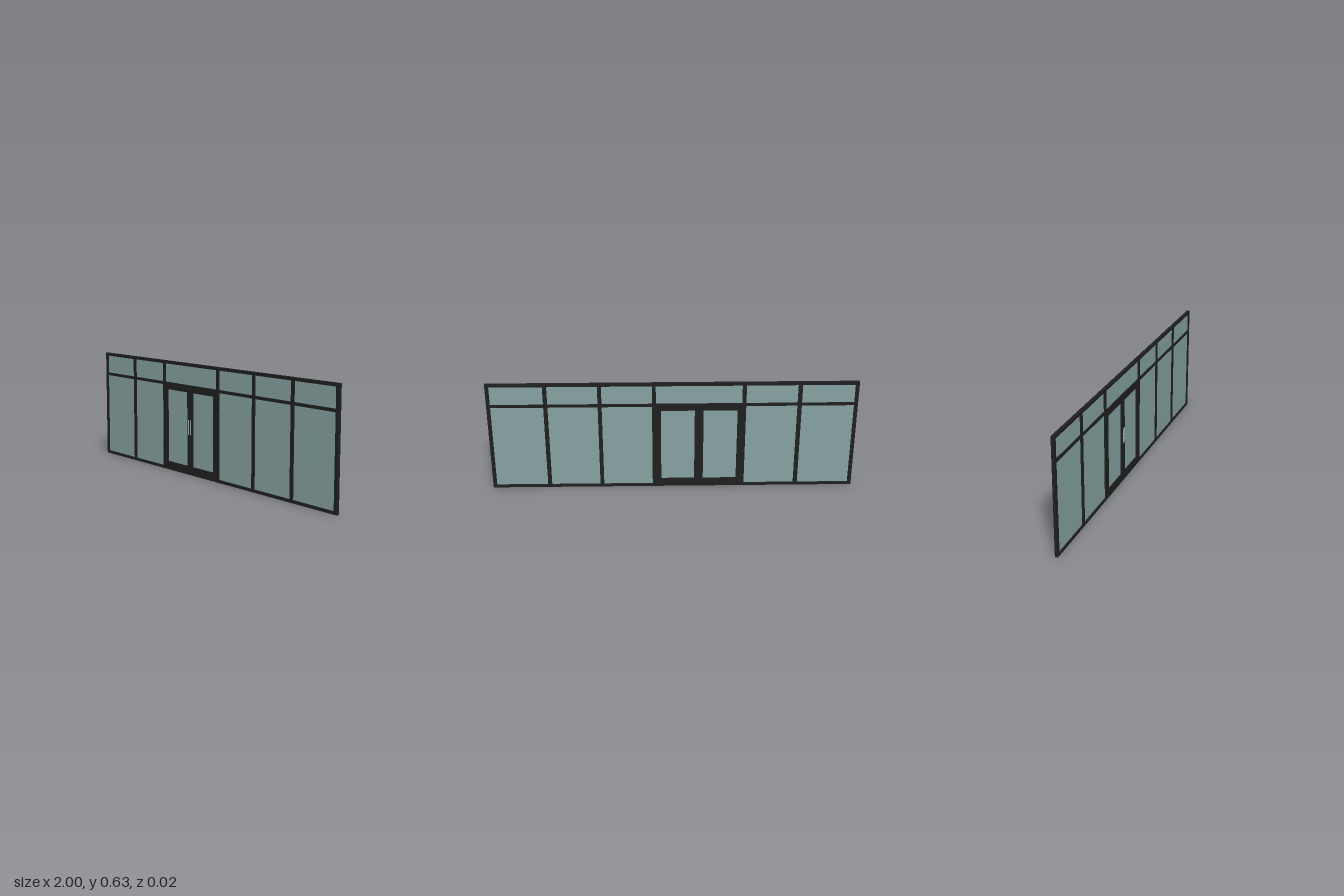
import * as THREE from 'three';

const HEIGHT = 0.63, BACK = -0.011, FRONT = 0.005;
const MID = (BACK + FRONT) / 2, DEPTH = FRONT - BACK;

export function createModel() {
  const root = new THREE.Group();
  root.name = 'storefront';

  const mat = (name, color) => {
    const m = new THREE.MeshStandardMaterial({ color });
    m.name = name;
    return m;
  };
  const frameMat = mat('black frame', 0x202020);
  const hingeMat = mat('dark hinge', 0x141414);
  const glassMat = mat('tinted glass', 0x86a3a2);
  const steelMat = mat('brushed steel', 0x96a5a3);

  const add = (parent, name, geometry, material, x = 0, y = 0, z = 0) => {
    const m = new THREE.Mesh(geometry, material);
    m.name = name;
    m.position.set(x, y, z);
    parent.add(m);
    return m;
  };
  // Box given by its x and y limits
  const slab = (parent, name, x0, x1, y0, y1, material, depth = DEPTH) =>
    add(parent, name, new THREE.BoxGeometry(x1 - x0, y1 - y0, depth), material,
      (x0 + x1) / 2, (y0 + y1) / 2, MID);

  // Vertical posts, left to right
  const posts = [[-1, -0.98], [-0.697, -0.674], [-0.397, -0.375], [0.09, 0.111],
    [0.382, 0.403], [0.673, 0.695], [0.98, 1]];
  posts.forEach(([a, b]) => slab(root, 'post', a, b, 0, HEIGHT, frameMat));

  // Rails and glass of every bay; the third bay holds the doors
  for (let i = 0; i < posts.length - 1; i++) {
    const x0 = posts[i][1], x1 = posts[i + 1][0];
    slab(root, 'bottomRail', x0, x1, 0, 0.016, frameMat);
    slab(root, 'transomRail', x0, x1, 0.492, 0.508, frameMat);
    slab(root, 'topRail', x0, x1, 0.613, HEIGHT, frameMat);
    slab(root, 'transomGlass', x0, x1, 0.508, 0.613, glassMat, 0.004);
    if (i !== 2) slab(root, 'windowGlass', x0, x1, 0.016, 0.492, glassMat, 0.004);
  }

  // Double door: each leaf is a wide frame around a pane, with hinges and a pull
  const doorMiddle = -0.143;
  const leaves = [
    { side: -1, x0: -0.375, x1: doorMiddle, g0: -0.352, g1: -0.168 },
    { side: 1, x0: doorMiddle, x1: 0.09, g0: -0.12, g1: 0.063 },
  ];
  for (const { side, x0, x1, g0, g1 } of leaves) {
    const door = new THREE.Group();
    door.name = side < 0 ? 'rightDoor' : 'leftDoor';
    root.add(door);

    const outline = new THREE.Shape([[x0, 0.016], [x1, 0.016], [x1, 0.492], [x0, 0.492]]
      .map(([x, y]) => new THREE.Vector2(x, y)));
    outline.holes.push(new THREE.Path([[g0, 0.048], [g0, 0.467], [g1, 0.467], [g1, 0.048]]
      .map(([x, y]) => new THREE.Vector2(x, y))));
    add(door, 'doorFrame',
      new THREE.ExtrudeGeometry(outline, { depth: DEPTH, bevelEnabled: false }),
      frameMat, 0, 0, BACK);
    slab(door, 'doorGlass', g0, g1, 0.048, 0.467, glassMat, 0.004);

    // Hinges on the outer edge
    const hingeX = side < 0 ? -0.382 : 0.092;
    for (const y of [0.141, 0.402]) {
      add(door, 'hingeBarrel', new THREE.CylinderGeometry(0.004, 0.004, 0.029, 12),
        hingeMat, hingeX, y, FRONT);
      add(door, 'hingePlate', new THREE.BoxGeometry(0.018, 0.026, 0.002),
        hingeMat, hingeX, y, FRONT);
    }

    // Pull handle with two standoffs beside the meeting edge
    const pullX = doorMiddle + side * 0.0095;
    add(door, 'pullHandle', new THREE.CylinderGeometry(0.003, 0.003, 0.082, 12),
      steelMat, pullX, 0.271, 0.0095);
    for (const y of [0.257, 0.285]) {
      add(door, 'handleStandoff', new THREE.CylinderGeometry(0.0018, 0.0018, 0.005, 8),
        steelMat, pullX, y, 0.007).rotation.x = Math.PI / 2;
    }
  }

  return root;
}
